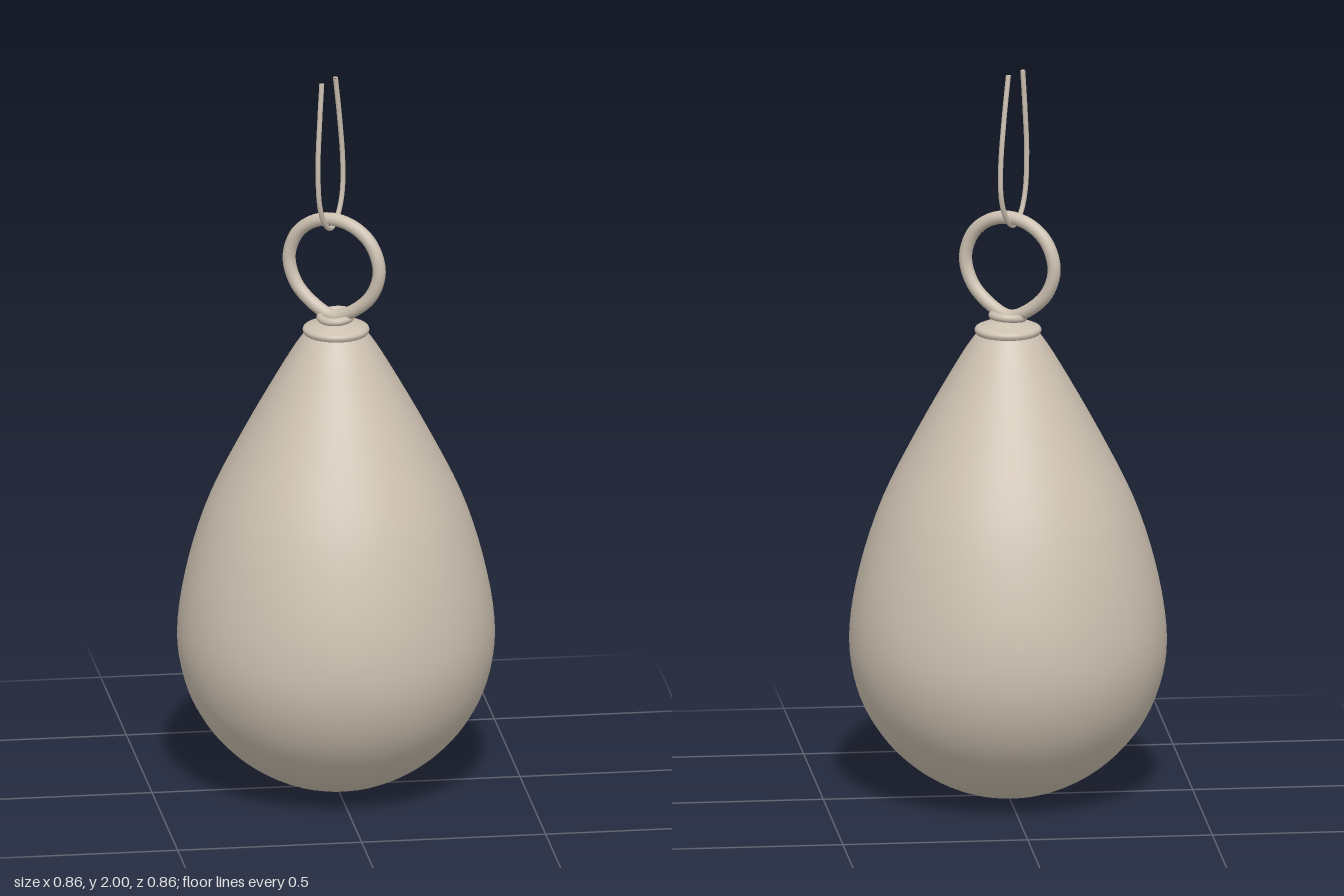
import * as THREE from 'three';

const v2 = (p) => new THREE.Vector2(p[0], p[1]);
const v3 = (p) => new THREE.Vector3(...p);

export function createModel() {
  const model = new THREE.Group();
  const stone = new THREE.MeshStandardMaterial({ color: 0xccc0b0 });
  stone.name = 'warm stone';

  const add = (name, geometry, parent = model) => {
    const mesh = new THREE.Mesh(geometry, stone);
    mesh.name = name;
    parent.add(mesh);
    return mesh;
  };

  // Teardrop body, turned from a smooth profile
  const bodyProfile = new THREE.SplineCurve([
    [0, 0], [0.13, 0.022], [0.25, 0.085], [0.345, 0.18], [0.405, 0.295],
    [0.428, 0.43], [0.407, 0.6], [0.347, 0.8], [0.25, 1.0], [0.138, 1.2],
    [0.085, 1.28], [0.06, 1.3],
  ].map(v2)).getPoints(48);
  bodyProfile[0].x = 0;
  add('body', new THREE.LatheGeometry(bodyProfile, 48));

  // Flanged cap with a rounded rim and a low dome
  const capProfile = new THREE.SplineCurve([
    [0, 1.275], [0.075, 1.278], [0.089, 1.287], [0.087, 1.298],
    [0.07, 1.306], [0.04, 1.317], [0, 1.322],
  ].map(v2)).getPoints(28);
  capProfile[0].x = capProfile[capProfile.length - 1].x = 0;
  add('cap', new THREE.LatheGeometry(capProfile, 40));

  // Small eyelet lying on the cap
  const eyelet = add('eyelet', new THREE.TorusGeometry(0.042, 0.011, 12, 36));
  eyelet.position.y = 1.328;
  eyelet.rotation.set(Math.PI / 2 + 0.08, 0.08, 0);

  // Hanging ring, narrowing where it meets the cap
  const ringHalf = [[0.064, 1.587], [0.114, 1.545], [0.137, 1.475], [0.115, 1.405], [0.06, 1.353]];
  const ringPoints = [
    [0, 1.602, 0],
    ...ringHalf.map(([x, y]) => [x, y, 0]),
    [0, 1.328, 0],
    ...ringHalf.map(([x, y]) => [-x, y, 0]).reverse(),
  ].map(v3);
  const ring = add('hangingRing', new THREE.TubeGeometry(
    new THREE.CatmullRomCurve3(ringPoints, true), 72, 0.018, 14, true));
  ring.position.x = -0.005;
  ring.rotation.y = -0.62;

  // Thin cord looped under the top of the ring
  const cord = new THREE.Group();
  cord.name = 'cord';
  cord.position.set(-0.015, 0, 0.004);
  cord.rotation.y = 0.87;
  model.add(cord);
  const cordCurve = new THREE.CatmullRomCurve3([
    [-0.045, 2, 0], [-0.055, 1.9, 0], [-0.064, 1.77, 0], [-0.056, 1.66, 0],
    [-0.033, 1.603, 0], [0, 1.578, 0], [0.033, 1.603, 0], [0.057, 1.66, 0],
    [0.061, 1.75, 0], [0.045, 1.88, 0], [0.024, 2, 0],
  ].map(v3));
  add('cordLoop', new THREE.TubeGeometry(cordCurve, 80, 0.007, 8), cord);

  // Closed ends of the cord
  for (const [t, turn] of [[0, Math.PI / 2], [1, Math.PI / 2]]) {
    const end = add('cordEnd', new THREE.CircleGeometry(0.007, 8), cord);
    end.position.copy(cordCurve.getPoint(t));
    end.rotation.x = -turn;
  }

  return model;
}
